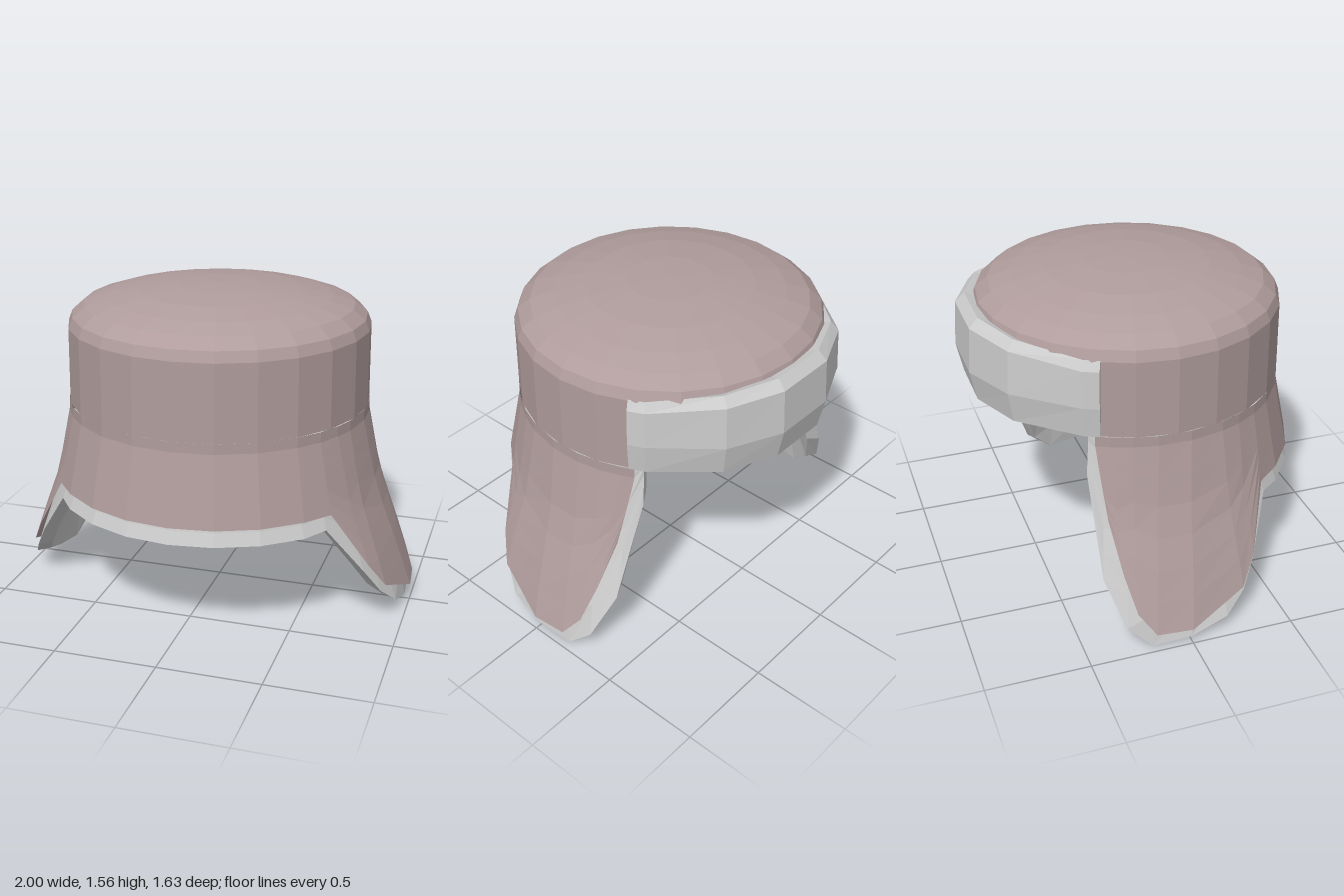
import * as THREE from 'three';

const fabric = new THREE.MeshStandardMaterial({ color: 0xb09c9c, flatShading: true, side: THREE.DoubleSide });
const fur = new THREE.MeshStandardMaterial({ color: 0xcccccc, flatShading: true, side: THREE.DoubleSide });
const { lerp, degToRad } = THREE.MathUtils;

// Wall radius by height: straight crown, flaring toward the flap tips
const FLARE = [[0.08, 1.0], [0.35, 0.91], [0.61, 0.815], [0.95, 0.745], [1.37, 0.74]];
function wallRadius(y) {
  if (y <= FLARE[0][0]) return FLARE[0][1];
  for (let i = 1; i < FLARE.length; i++) {
    const [y0, r0] = FLARE[i - 1], [y1, r1] = FLARE[i];
    if (y <= y1) return lerp(r0, r1, (y - y0) / (y1 - y0));
  }
  return 0.74;
}

// Point at an angle from the front (+z), turning toward +x
function polar(deg, r, y) {
  const a = degToRad(deg);
  return [r * Math.sin(a), y, r * Math.cos(a)];
}

// Surface across neighbouring columns; closed columns form a capped solid
function skin(columns, closed) {
  const m = columns[0].length, n = columns.length, index = [];
  for (let i = 0; i < n - 1; i++) {
    for (let j = 0; j < (closed ? m : m - 1); j++) {
      const k = (j + 1) % m;
      const a = i * m + j, b = i * m + k, c = a + m, d = b + m;
      index.push(a, b, c, b, d, c);
    }
  }
  if (closed) {
    for (let j = 0; j < m / 2 - 1; j++) {
      const a = j, b = j + 1, c = m - 2 - j, d = m - 1 - j, e = (n - 1) * m;
      index.push(a, c, b, a, d, c);
      index.push(e + a, e + b, e + c, e + a, e + c, e + d);
    }
  }
  const g = new THREE.BufferGeometry();
  g.setAttribute('position', new THREE.Float32BufferAttribute(columns.flat(2), 3));
  g.setIndex(index);
  g.computeVertexNormals();
  return g;
}

// Column running down the wall, swinging from its top angle to its bottom angle
function column(topDeg, botDeg, topY, botY, inset, steps = 6) {
  return Array.from({ length: steps + 1 }, (_, i) => {
    const t = i / steps, y = lerp(topY, botY, t);
    return polar(lerp(topDeg, botDeg, t), wallRadius(y) - inset, y);
  });
}

// Extend a half list [top angle, bottom angle, ...] to both sides of the front
function mirrored(half) {
  const other = half.slice(1).reverse().map(([a, b, ...rest]) => [-a, -b, ...rest]);
  return [...other, ...half];
}

export function createModel() {
  const hat = new THREE.Group();
  hat.name = 'earFlapHat';
  const add = (name, geometry, material) => {
    const mesh = new THREE.Mesh(geometry, material);
    mesh.name = name;
    hat.add(mesh);
  };

  // Crown with shallow domed top
  const profile = [[0.744, 1.0], [0.74, 1.37], [0.72, 1.42], [0.66, 1.47], [0.55, 1.505],
    [0.4, 1.535], [0.2, 1.555], [0, 1.56]].map(([r, y]) => new THREE.Vector2(r, y));
  add('crown', new THREE.LatheGeometry(profile, 24), fabric);

  // Front skirt and ear flaps: [top angle, bottom angle, bottom height]
  const edge = mirrored([
    [0, 0, 0.61], [15, 15, 0.61], [30, 30, 0.61], [45, 45, 0.61], [55, 56, 0.61],
    [64, 67, 0.33], [72, 73, 0.2], [85, 90, 0.08], [97, 100, 0.08],
    [106, 105, 0.18], [114, 109, 0.36], [119, 114, 0.6],
  ]);
  const skirt = edge.map(([a, b, y]) => [
    polar(a, wallRadius(1), 1), ...column(a, b, 0.95, y, 0),
  ]);
  add('skirtAndFlaps', skin(skirt, false), fabric);

  // Thick lining that shows as a trim below the skirt and around the flaps
  const trim = mirrored([
    [0, 0, 0.53, 0.9], [15, 15, 0.53, 0.9], [30, 30, 0.53, 0.9], [45, 45, 0.53, 0.9],
    [55, 54, 0.54, 0.9], [64, 66, 0.3, 0.92], [72, 72, 0.17, 0.95], [78, 79, 0.08, 0.97],
    [86, 90, 0.02, 1.0], [97, 101, 0, 1.0], [106, 108, 0.1, 1.02], [117, 115, 0.32, 1.02],
    [122, 122, 0.8, 1.03],
  ]);
  const lining = trim.map(([a, b, y, top]) => [
    ...column(a, b, top, y, 0.025),
    ...column(a, b, top, y + 0.02, 0.095).reverse(),
  ]);
  add('lining', skin(lining, true), fur);

  // Turned-up band across the back: [angle, fullness, lift of the top edge]
  const stations = [[117, 0.5, 0], [123, 0.56, 0], [149, 0.86, 0.03], [169, 1, 0.04]];
  const across = [...stations, ...stations.slice().reverse().map(([a, k, l]) => [360 - a, k, l])];
  const section = [[0.77, 1.375], [0.815, 1.33], [0.828, 1.15], [0.795, 1.0], [0.7, 1.015], [0.7, 1.35]];
  const band = across.map(([a, k, lift]) => section.map(([r, y]) =>
    polar(a, 0.7 + (r - 0.7) * k, y + (y > 1.3 ? lift : 0))));
  add('backBand', skin(band, true), fur);

  return hat;
}
